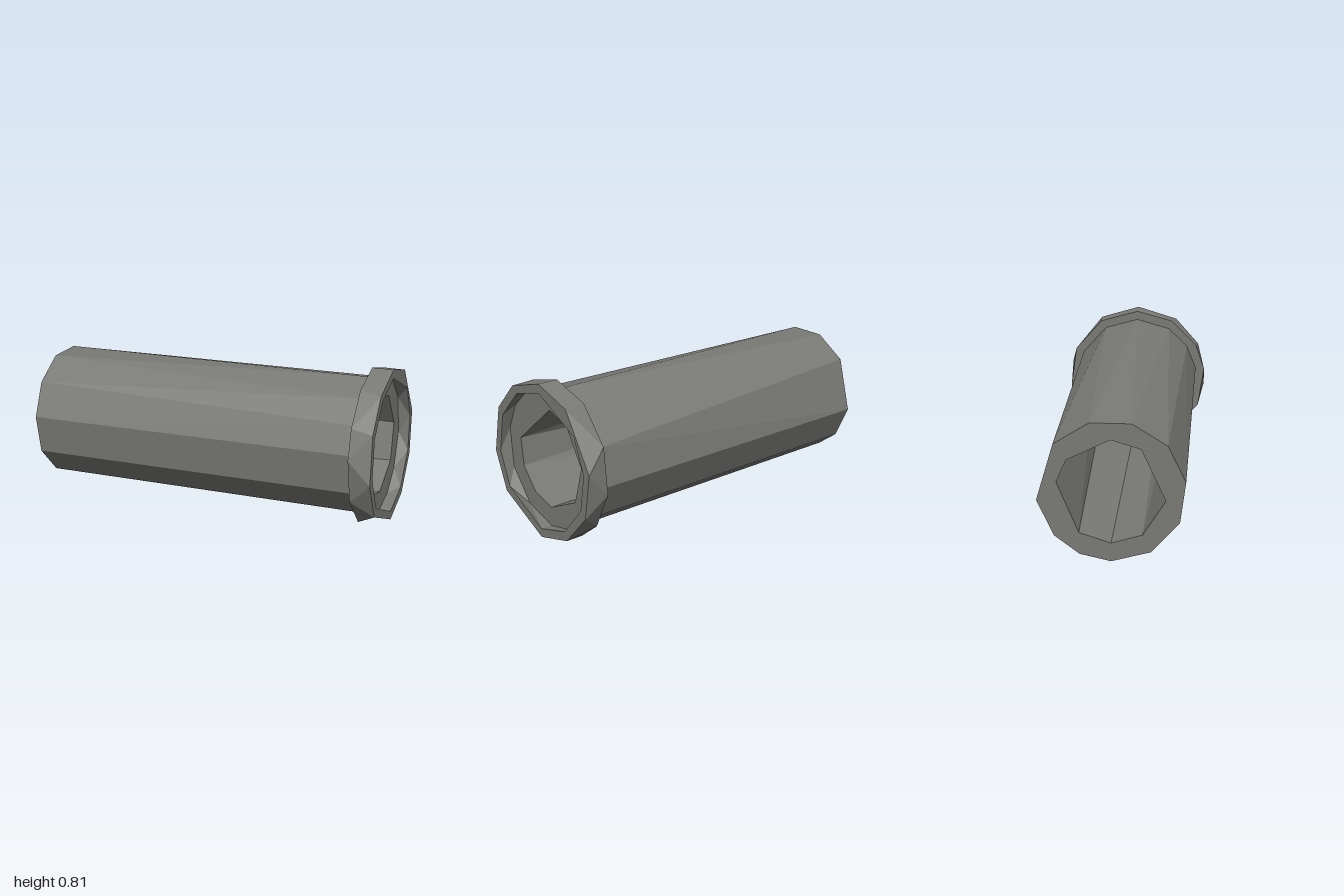
import * as THREE from 'three';

// A faceted ring: radius, distance along the tube, corner angles in degrees
function ring(radius, z, degrees) {
  return degrees
    .map((d) => ((d % 360) + 360) % 360)
    .sort((a, b) => a - b)
    .map((angle) => {
      const t = THREE.MathUtils.degToRad(angle);
      return { angle, p: [radius * Math.cos(t), radius * Math.sin(t), z] };
    });
}

// Bridge two rings with triangles, even when their corner counts differ
function bridge(a, b, out) {
  const at = (r, i) => r[i % r.length];
  const turn = (r, i) => at(r, i).angle + 360 * Math.floor(i / r.length);
  let i = 0, j = 0;
  while (i < a.length || j < b.length) {
    const stepA = j >= b.length || (i < a.length && turn(a, i + 1) <= turn(b, j + 1));
    const p = at(a, i).p, q = at(b, j).p;
    if (stepA) out.push(...p, ...at(a, ++i).p, ...q);
    else out.push(...p, ...at(b, ++j).p, ...q);
  }
}

// Skin a sequence of rings with flat facets
function skin(name, rings, material) {
  const positions = [];
  for (let k = 0; k < rings.length - 1; k++) bridge(rings[k], rings[k + 1], positions);
  const geometry = new THREE.BufferGeometry();
  geometry.setAttribute('position', new THREE.Float32BufferAttribute(positions, 3));
  geometry.computeVertexNormals();
  const mesh = new THREE.Mesh(geometry, material);
  mesh.name = name;
  return mesh;
}

export function createModel() {
  const group = new THREE.Group();
  group.name = 'collaredTube';
  const grey = new THREE.MeshStandardMaterial({ color: 0x7a7a76 });
  grey.name = 'stoneGrey';

  const length = 1.874, collarZ = length - 0.11, floorZ = length - 0.06;

  // Outer wall of the tube
  const tubeBack = ring(0.35, 0, [106, 74, 41, -8, -40, -65, -90, -122, -156, 170, 138]);
  const tubeFront = ring(0.355, collarZ, [122, 90, 58, 25, -8, -40, -65, -90, -122, -156, 170, 146]);

  // Collar with a shallow recess in its front
  const collarBack = ring(0.404, collarZ, [90, 58, 25, -9, -40, -62, -90, -122, -155, 172, 150, 120]);
  const collarFront = ring(0.404, length, [90, 57, 9, -25, -58, -90, -140, -171, 153, 124]);
  const rimInner = ring(0.358, length, [90, 38, 8, -23, -57, -90, -141, -172, 155, 122]);
  const recess = ring(0.358, floorZ, [90, 57, 25, -8, -40, -65, -90, -122, -156, 170, 146, 122]);

  // Bore running right through
  const boreFront = ring(0.258, floorZ, [90, 57, 8, -38, -90, -122, -155, 172]);
  const boreBack = ring(0.256, 0, [90, 37, 10, -54, -90, -125, -172, 123]);

  const tube = new THREE.Group();
  tube.name = 'tube';
  tube.add(
    skin('barrel', [boreBack, tubeBack, tubeFront], grey),
    skin('collar', [tubeFront, collarBack, collarFront, rimInner, recess, boreFront], grey),
    skin('bore', [boreFront, boreBack], grey)
  );

  // Tube lies slightly turned and tipped up toward the front
  tube.rotation.order = 'YXZ';
  tube.rotation.set(-0.03, 0.215, 0);
  tube.position.set(-0.227, 0.355, -0.925);
  group.add(tube);
  return group;
}
